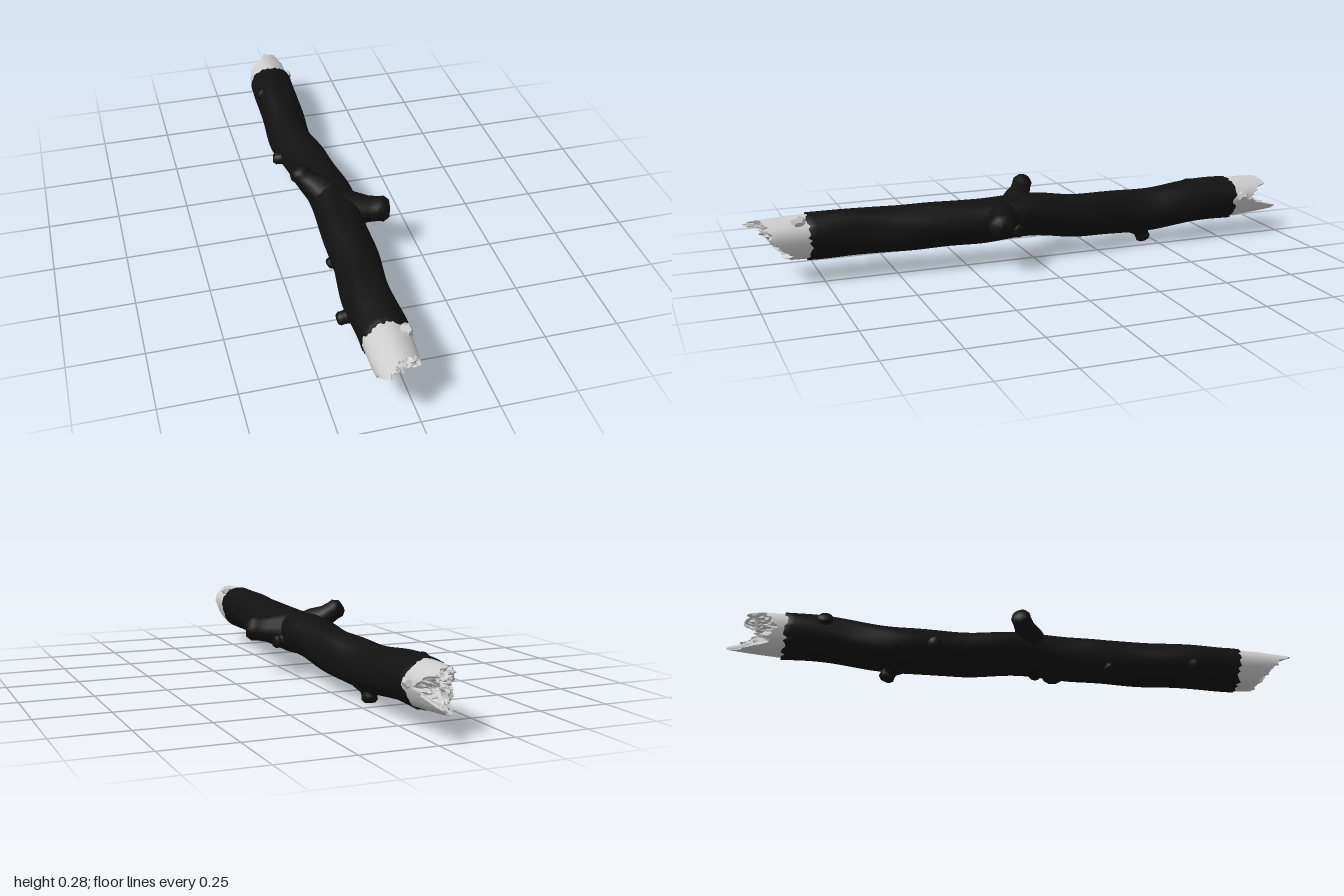
import * as THREE from 'three';

const SIDES = 48;
const bark = new THREE.MeshStandardMaterial({ color: 0x111111, side: THREE.DoubleSide });
const wood = new THREE.MeshStandardMaterial({ color: 0xcccccc, side: THREE.DoubleSide });
const brokenWood = new THREE.MeshStandardMaterial({ color: 0xcccccc, side: THREE.DoubleSide, flatShading: true });

// Crooked centre line, one point every 0.2 from back to front
const axis = new THREE.CatmullRomCurve3([
  [-0.055, 0.14], [-0.058, 0.135], [-0.06, 0.124], [-0.064, 0.112], [-0.042, 0.128], [-0.03, 0.15],
  [-0.028, 0.144], [-0.035, 0.143], [-0.047, 0.146], [-0.05, 0.15], [-0.055, 0.15],
].map(([x, y], i) => new THREE.Vector3(x, y, -1 + i * 0.2)));

function seeded(seed) {
  return () => (seed = (seed * 16807) % 2147483647) / 2147483647;
}

// Point around the centre line at depth z, angle a and radius r
function around(z, a, r) {
  const c = axis.getPoint(THREE.MathUtils.clamp((z + 1) / 2, 0, 1));
  return new THREE.Vector3(c.x + Math.cos(a) * r, c.y + Math.sin(a) * r, z);
}

function stickRadius(z, a) {
  return 0.075 + 0.004 * Math.abs(z)
    + 0.0025 * Math.sin(3 * a + 7 * z) + 0.0015 * Math.sin(5 * a - 16 * z) + 0.002 * Math.sin(19 * z + a);
}

// Closed rings of points joined into a surface
function loft(rows, at, flip = false) {
  const pos = [], index = [];
  for (let i = 0; i < rows; i++) {
    for (let j = 0; j < SIDES; j++) pos.push(...at(i, j, (j / SIDES) * Math.PI * 2).toArray());
  }
  for (let i = 0; i < rows - 1; i++) {
    for (let j = 0; j < SIDES; j++) {
      const k = (j + 1) % SIDES;
      const a = i * SIDES + j, b = i * SIDES + k, c = a + SIDES, d = b + SIDES;
      if (flip) index.push(a, c, b, b, c, d);
      else index.push(a, b, c, b, d, c);
    }
  }
  const g = new THREE.BufferGeometry();
  g.setAttribute('position', new THREE.Float32BufferAttribute(pos, 3));
  g.setIndex(index);
  g.computeVertexNormals();
  return g;
}

function add(group, name, geometry, material) {
  const mesh = new THREE.Mesh(geometry, material);
  mesh.name = name;
  group.add(mesh);
  return mesh;
}

// Tapered side stub with a flared foot, running from one point to another
function addKnot(group, name, from, to, foot, tip) {
  const a = new THREE.Vector3(...from), b = new THREE.Vector3(...to);
  const length = a.distanceTo(b);
  const profile = [[foot, 0], [foot * 0.85, 0.35], [tip * 1.08, 0.6], [tip, 0.78], [tip * 1.04, 0.88], [tip * 0.72, 0.98], [0, 1]]
    .map(([r, t]) => new THREE.Vector2(r, t * length));
  const mesh = add(group, name, new THREE.LatheGeometry(profile, 12), bark);
  mesh.position.copy(a);
  mesh.quaternion.setFromUnitVectors(new THREE.Vector3(0, 1, 0), b.sub(a).normalize());
}

// Snapped end: bare collar with a splintered rim and a hollow, rough face
function addBrokenEnd(group, name, sign, reach, core, seed) {
  const random = seeded(seed);
  const end = new THREE.Group();
  end.name = name;
  group.add(end);
  const rim = Array.from({ length: SIDES }, (_, j) => {
    const t = (j / SIDES) * reach.length, k = Math.floor(t);
    const z = THREE.MathUtils.lerp(reach[k], reach[(k + 1) % reach.length], t - k);
    return Math.min(1, z + (random() - 0.5) * 0.022);
  });
  rim[reach.indexOf(1) * SIDES / reach.length] = 1;
  const rimRadius = (j, a) => stickRadius(sign * 0.8, a) * (1 - 0.9 * (rim[j] - 0.8));

  add(end, name + 'Collar', loft(7, (i, j, a) => {
    const t = i / 6, z = THREE.MathUtils.lerp(0.76, rim[j], t);
    const r = THREE.MathUtils.lerp(stickRadius(sign * 0.8, a) - 0.003, rimRadius(j, a), t * t);
    return around(sign * z, a, r);
  }, sign < 0), wood);

  const rows = 9;
  add(end, name + 'Face', loft(rows, (i, j, a) => {
    const t = 1 - i / (rows - 1);
    const rough = i === 0 || i === rows - 1 ? 0 : (random() - 0.5) * 0.035;
    const z = THREE.MathUtils.lerp(core, rim[j], Math.pow(t, 1.6)) + rough;
    return around(sign * Math.min(z, 1), a, rimRadius(j, a) * t);
  }, sign < 0), brokenWood);
  return end;
}

function addSplinter(group, [x, y, z], size, stretch) {
  const mesh = add(group, 'splinter', new THREE.DodecahedronGeometry(size), brokenWood);
  mesh.position.set(x, y, z);
  mesh.scale.z = stretch;
}

export function createModel() {
  const stick = new THREE.Group();
  stick.name = 'brokenStick';

  // Bark sleeve with ragged edges turned in against the bare wood
  const random = seeded(41);
  const ragged = [0, 1].map(() => Array.from({ length: SIDES }, () => 0.795 + random() * 0.02));
  const rows = 70;
  add(stick, 'bark', loft(rows, (i, j, a) => {
    const t = THREE.MathUtils.clamp((i - 1) / (rows - 3), 0, 1);
    const z = THREE.MathUtils.lerp(-ragged[0][j], ragged[1][j] - 0.01, t);
    const lip = i === 0 || i === rows - 1 ? 0.006 : 0;
    return around(z, a, stickRadius(z, a) + 0.002 - lip);
  }), bark);

  // Side stubs and knots
  addKnot(stick, 'leftBranchStub', [-0.03, 0.15, 0.11], [0.152, 0.163, 0.172], 0.072, 0.043);
  addKnot(stick, 'leftSmallKnot', [0.0, 0.13, 0.09], [0.08, 0.12, 0.08], 0.045, 0.023);
  addKnot(stick, 'upperBranchStub', [-0.035, 0.165, 0.06], [-0.145, 0.256, -0.015], 0.062, 0.034);
  addKnot(stick, 'frontKnot', [-0.07, 0.125, 0.62], [-0.159, 0.108, 0.62], 0.05, 0.022);
  addKnot(stick, 'middleKnot', [-0.06, 0.12, -0.28], [-0.158, 0.11, -0.31], 0.05, 0.022);
  addKnot(stick, 'underKnot', [-0.055, 0.085, -0.43], [-0.045, 0.002, -0.46], 0.062, 0.026);
  addKnot(stick, 'backKnot', [-0.08, 0.145, -0.67], [-0.138, 0.186, -0.68], 0.045, 0.026);
  addKnot(stick, 'lowerKnot', [-0.06, 0.12, 0.32], [-0.107, 0.08, 0.32], 0.035, 0.02);

  // Rim reach every 45 degrees, starting at +x and turning towards +y
  const front = addBrokenEnd(stick, 'frontBreak', 1, [0.92, 0.93, 0.95, 1, 0.93, 0.88, 0.85, 0.86], 0.9, 7);
  const back = addBrokenEnd(stick, 'backBreak', -1, [0.87, 0.94, 0.93, 0.88, 0.84, 0.86, 0.97, 1], 0.89, 19);
  addSplinter(front, [0.0, 0.213, 0.83], 0.02, 1.3);
  addSplinter(back, [0.015, 0.15, -0.84], 0.02, 1.3);
  addSplinter(back, [-0.108, 0.17, -0.85], 0.018, 1.5);
  return stick;
}
